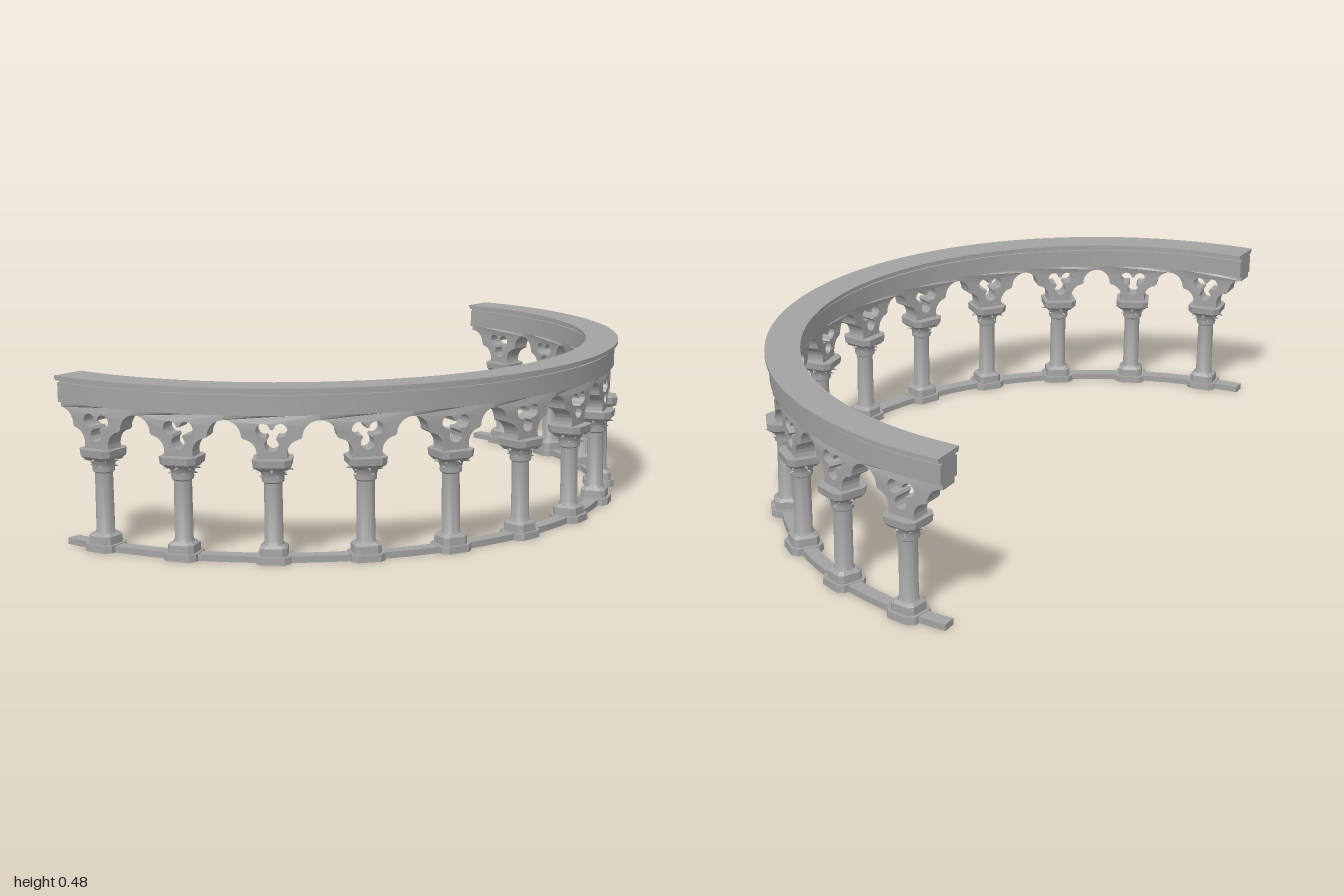
import * as THREE from 'three';
import { toCreasedNormals } from 'three/addons/utils/BufferGeometryUtils.js';

const BAYS = 12, STEP = Math.PI / BAYS;
const R = 0.95;                    // radius of the column circle
const CENTRE_X = -0.5;
const stone = new THREE.MeshStandardMaterial({ color: 0xa3a3a3 });
stone.name = 'grey stone';

function add(parent, name, geometry) {
  const mesh = new THREE.Mesh(geometry, stone);
  mesh.name = name;
  parent.add(mesh);
  return mesh;
}

// Half-ring slab between two radii and two heights
function halfRing(r0, r1, y0, y1, segments) {
  const shape = new THREE.Shape();
  shape.absarc(0, 0, r1, -Math.PI / 2, Math.PI / 2, false);
  shape.absarc(0, 0, r0, Math.PI / 2, -Math.PI / 2, true);
  const g = new THREE.ExtrudeGeometry(shape, { depth: y1 - y0, bevelEnabled: false, curveSegments: segments });
  g.rotateX(-Math.PI / 2);
  g.translate(CENTRE_X, y0, 0);
  return toCreasedNormals(g, 0.3);
}

// Square block with cut corners, tapering from half-width h0 to h1
function block(h0, h1, y0, y1) {
  const c = 0.68, corners = [[1, -c], [1, c], [c, 1], [-c, 1], [-1, c], [-1, -c], [-c, -1], [c, -1]];
  const shape = new THREE.Shape(corners.map(([x, y]) => new THREE.Vector2(x, y)));
  const g = new THREE.ExtrudeGeometry(shape, { depth: 1, bevelEnabled: false });
  g.rotateX(-Math.PI / 2);
  const p = g.attributes.position;
  for (let i = 0; i < p.count; i++) {
    const t = p.getY(i), h = h0 + (h1 - h0) * t;
    p.setXYZ(i, p.getX(i) * h, y0 + (y1 - y0) * t, p.getZ(i) * h);
  }
  g.computeVertexNormals();
  return g;
}

function lathe(points) {
  return toCreasedNormals(new THREE.LatheGeometry(points.map(([x, y]) => new THREE.Vector2(x, y)), 20), 0.6);
}

// One bay of cusped half-arches with a pierced trefoil, bent round the circle
function archPanel() {
  const W = R * STEP / 2, inner = 0.922, depth = 0.056;
  const edge = new THREE.Path();
  edge.absarc(W - 0.045, 0.30, 0.04, Math.PI * 1.131, Math.PI * 0.54, true);
  edge.absarc(W, 0.345, 0.045, Math.PI, Math.PI / 2, true);
  const right = edge.getPoints(10);
  const top = [];
  for (let i = 0; i <= 8; i++) top.push(new THREE.Vector2(W - W * i / 4, 0.407));
  const left = right.map(v => new THREE.Vector2(-v.x, v.y)).reverse();
  const shape = new THREE.Shape([...right, ...top, ...left]);

  const trefoil = new THREE.Path();
  for (let i = 0; i < 3; i++) {
    const a = Math.PI / 6 + i * Math.PI * 2 / 3, spread = 2.5;
    trefoil.absarc(0.026 * Math.cos(a), 0.35 + 0.026 * Math.sin(a), 0.0185, a - spread, a + spread, false);
  }
  shape.holes.push(trefoil);

  const g = new THREE.ExtrudeGeometry(shape, { depth, bevelEnabled: false, curveSegments: 14 });
  const p = g.attributes.position;
  for (let i = 0; i < p.count; i++) {
    const a = p.getX(i) / R, r = inner + p.getZ(i);
    p.setXYZ(i, r * Math.sin(a), p.getY(i), r * Math.cos(a));
  }
  return toCreasedNormals(g, 0.5);
}

export function createModel() {
  const model = new THREE.Group();
  model.name = 'curvedArcade';

  // Continuous bands
  add(model, 'baseRail', halfRing(0.93, 0.97, 0, 0.018, 48));
  add(model, 'frieze', halfRing(0.91, 0.989, 0.405, 0.46, 24));
  add(model, 'corniceGroove', halfRing(0.918, 0.982, 0.46, 0.466, 48));
  add(model, 'corniceFillet', halfRing(0.904, 0.996, 0.466, 0.471, 48));
  add(model, 'corniceTop', halfRing(0.9, 1, 0.471, 0.48, 48));

  // Geometry shared by every bay
  const panel = archPanel();
  const plinth = block(0.047, 0.046, 0, 0.02);
  const baseBlock = block(0.038, 0.037, 0.02, 0.042);
  const baseSlope = block(0.037, 0.028, 0.042, 0.05);
  const shaft = lathe([[0.029, 0.045], [0.029, 0.05], [0.0255, 0.056], [0.0245, 0.222]]);
  const bell = lathe([[0.0245, 0.218], [0.03, 0.222], [0.031, 0.229], [0.03, 0.234],
    [0.033, 0.245], [0.039, 0.256], [0.045, 0.264]]);
  const abacusSlope = block(0.038, 0.051, 0.254, 0.266);
  const abacus = block(0.051, 0.053, 0.266, 0.286);
  const leaf = new THREE.ConeGeometry(0.008, 0.022, 5);
  leaf.rotateX(Math.PI * 0.58);

  for (let k = 0; k < BAYS; k++) {
    const bay = new THREE.Group();
    bay.name = 'bay' + (k + 1);
    bay.position.x = CENTRE_X;
    bay.rotation.y = (k + 0.5) * STEP;
    model.add(bay);
    add(bay, 'archPanel', panel);

    const column = new THREE.Group();
    column.name = 'column';
    column.position.z = R;
    bay.add(column);
    add(column, 'plinth', plinth);
    add(column, 'baseBlock', baseBlock);
    add(column, 'baseSlope', baseSlope);
    add(column, 'shaft', shaft);
    add(column, 'capitalBell', bell);
    add(column, 'abacusSlope', abacusSlope);
    add(column, 'abacus', abacus);

    // Two tiers of small leaf tips round the capital
    for (let i = 0; i < 8; i++) {
      const a = i * Math.PI / 4 + Math.PI / 8, upper = i % 2 === 0;
      for (const [r, y, turn] of [[0.045, 0.256, Math.PI / 8], [0.031, 0.238, 0]]) {
        if (r < 0.04 && !upper) continue;
        const tip = add(column, 'capitalLeaf', leaf);
        tip.position.set(r * Math.sin(a + turn), y, r * Math.cos(a + turn));
        tip.rotation.y = a + turn;
      }
    }
  }
  return model;
}
